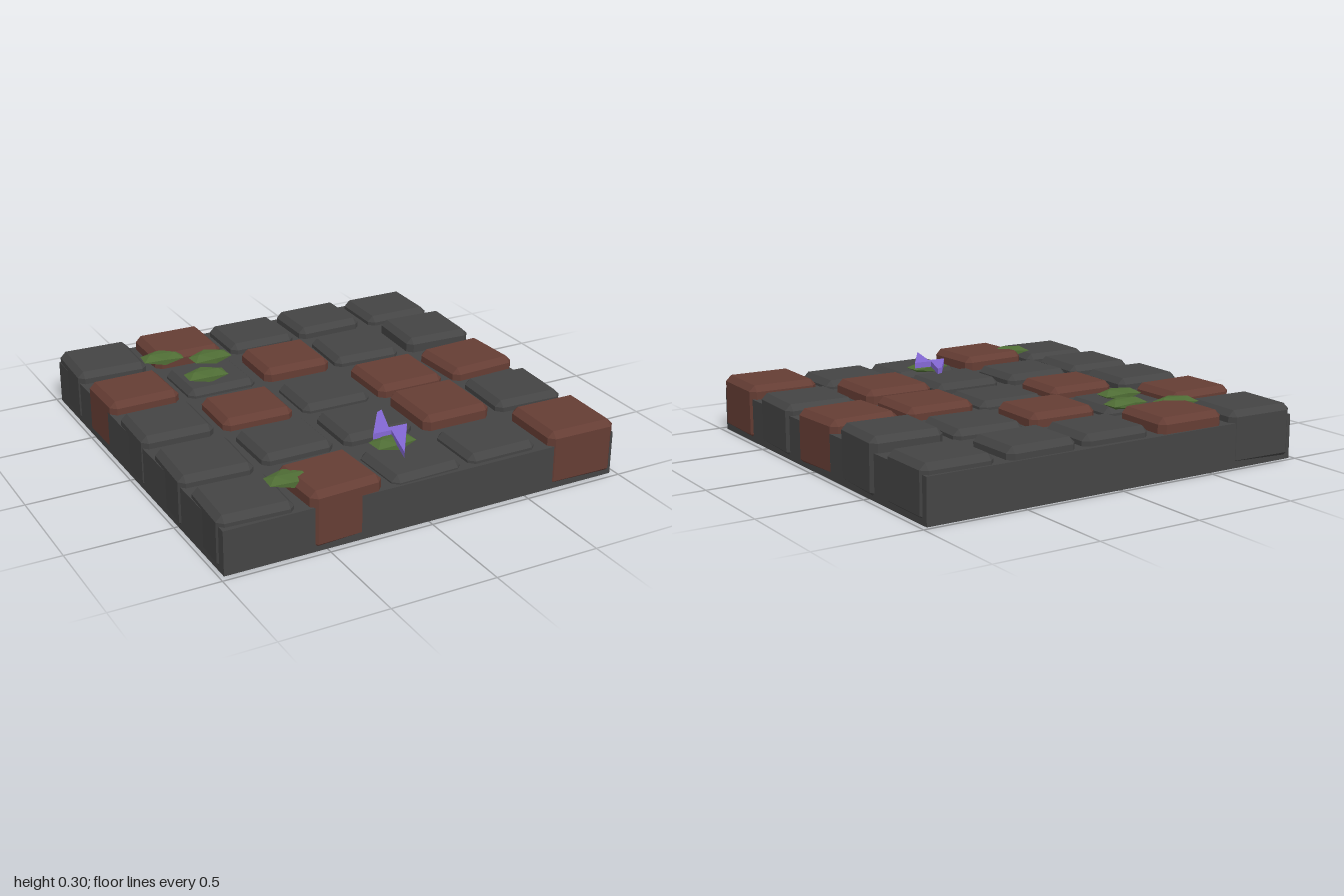
import * as THREE from 'three';
import { ConvexGeometry } from 'three/addons/geometries/ConvexGeometry.js';

const paint = (name, color) => {
  const m = new THREE.MeshStandardMaterial({ color });
  m.name = name;
  return m;
};

// Box with every edge and corner cut flat
function chamferedBox(w, h, d, b) {
  const points = [];
  for (const sx of [-1, 1]) for (const sy of [-1, 1]) for (const sz of [-1, 1]) {
    const x = w / 2, y = h / 2, z = d / 2;
    points.push(
      new THREE.Vector3(sx * x, sy * (y - b), sz * (z - b)),
      new THREE.Vector3(sx * (x - b), sy * y, sz * (z - b)),
      new THREE.Vector3(sx * (x - b), sy * (y - b), sz * z));
  }
  return new ConvexGeometry(points);
}

export function createModel() {
  const model = new THREE.Group();
  model.name = 'pavedFloorTile';
  const stone = paint('dark stone', 0x444444);
  const brick = paint('red brick', 0x653d34);
  const moss = paint('moss green', 0x4f6d35);
  const violet = paint('violet', 0x8468d4);

  const add = (name, geometry, material, x, y, z) => {
    const mesh = new THREE.Mesh(geometry, material);
    mesh.name = name;
    mesh.position.set(x, y, z);
    model.add(mesh);
    return mesh;
  };

  // Mortar slab
  add('baseSlab', new THREE.BoxGeometry(1.952, 0.21, 1.948), stone, -0.003, 0.105, -0.005);

  // Paving blocks: [z, depth, top height, turn] by row from the back
  const columns = [-0.805, -0.407, 0, 0.395, 0.805];
  const rows = [
    [[-0.82, 0.335, 0.265, -0.04], [-0.81, 0.32, 0.28, -0.02], [-0.80, 0.315, 0.26, -0.01], [-0.815, 0.305, 0.265, 0.01], [-0.81, 0.315, 0.255, -0.01]],
    [[-0.41, 0.31, 0.27, 0.01], [-0.41, 0.315, 0.25, 0], [-0.41, 0.315, 0.275, -0.02], [-0.41, 0.325, 0.255, -0.05], [-0.405, 0.33, 0.28, -0.05]],
    [[-0.01, 0.315, 0.265, -0.03], [0, 0.305, 0.265, -0.03], [0, 0.31, 0.25, -0.02], [0.005, 0.325, 0.27, -0.01], [-0.005, 0.325, 0.27, 0.05]],
    [[0.40, 0.335, 0.26, -0.05], [0.385, 0.315, 0.26, 0], [0.39, 0.31, 0.26, -0.01], [0.40, 0.35, 0.28, -0.01], [0.40, 0.335, 0.26, -0.045]],
    [[0.79, 0.325, 0.255, -0.05], [0.81, 0.325, 0.28, 0.05], [0.80, 0.31, 0.245, 0.03], [0.795, 0.305, 0.25, 0], [0.805, 0.345, 0.275, -0.025]],
  ];
  const pattern = ['.#...', '#.#..', '.#.##', '...#.', '.#..#'];
  rows.forEach((row, r) => row.forEach(([z, depth, top, turn], c) => {
    const red = pattern[r][c] === '#';
    const bottom = 0.008;
    const block = add(red ? 'brickPaver' : 'stonePaver',
      chamferedBox(0.35, top - bottom, depth, 0.028),
      red ? brick : stone, columns[c], (top + bottom) / 2, z);
    block.rotation.y = turn;
  }));

  // Moss clumps: flattened faceted lumps
  const clump = new THREE.IcosahedronGeometry(0.117, 0).scale(1, 0.22, 0.67);
  for (const [x, y, z, turn] of [
    [-0.55, 0.265, -0.67, -0.12], [-0.335, 0.265, -0.57, 0.06], [-0.44, 0.262, -0.385, -0.04],
    [-0.01, 0.258, 0.665, 0.05], [-0.58, 0.262, 0.77, -0.08],
  ]) add('mossClump', clump, moss, x, y, z).rotation.y = turn;

  // Zigzag bolt lying on the paving
  const outline = [[0.037, 0.444], [-0.09, 0.631], [0, 0.636], [-0.06, 0.85], [0.096, 0.61], [0.005, 0.604], [0.07, 0.428]];
  const shape = new THREE.Shape(outline.map(([x, z]) => new THREE.Vector2(x, -z)));
  const bolt = new THREE.ExtrudeGeometry(shape, { depth: 0.028, bevelEnabled: false });
  bolt.rotateX(-Math.PI / 2);
  add('zigzagBolt', bolt, violet, 0, 0.27, 0);

  return model;
}
